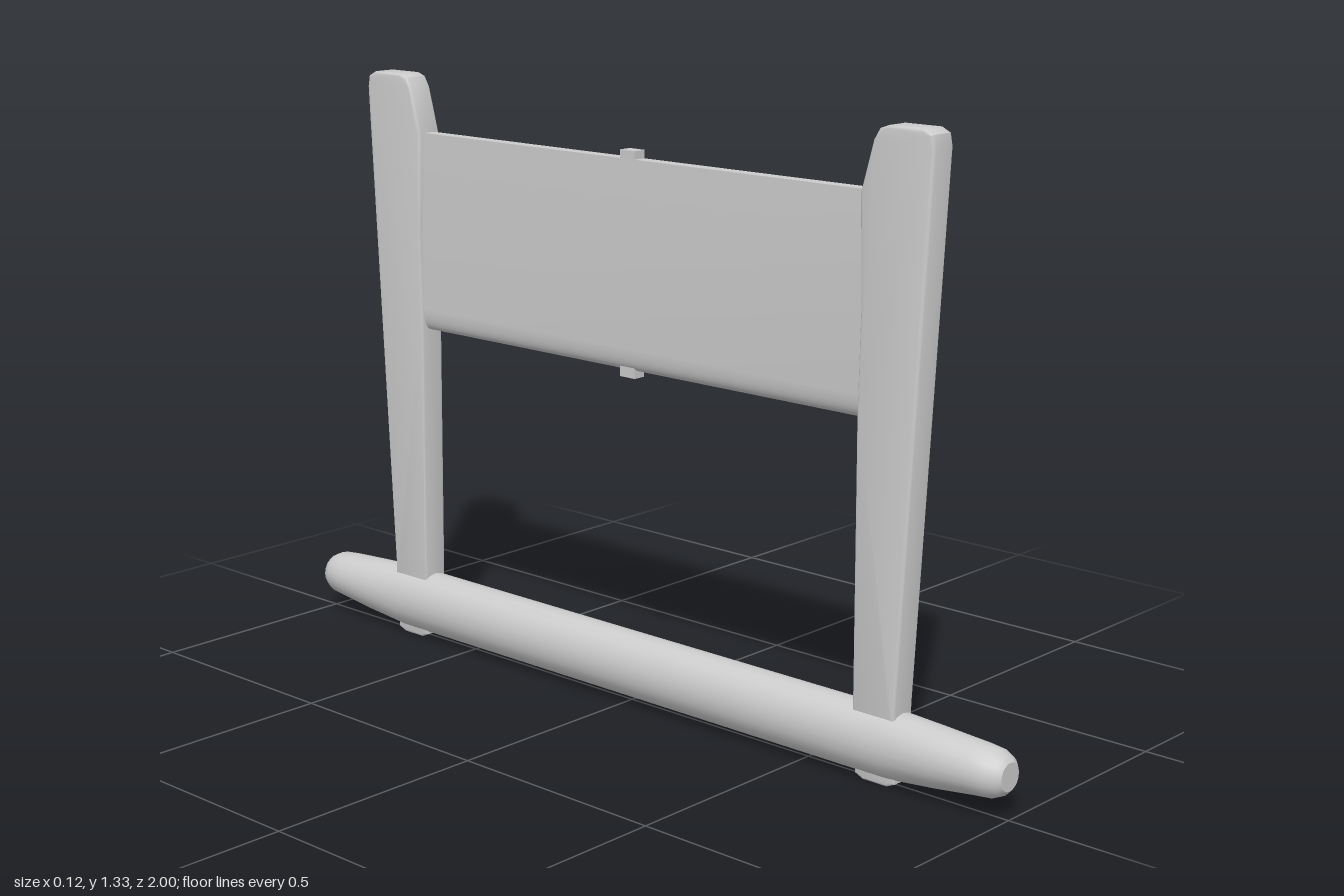
import * as THREE from 'three';
import { toCreasedNormals } from 'three/addons/utils/BufferGeometryUtils.js';

const material = new THREE.MeshStandardMaterial({ color: 0xcccccc });

function addMesh(parent, name, geometry, crease = 0.6) {
  const mesh = new THREE.Mesh(toCreasedNormals(geometry, crease), material);
  mesh.name = name;
  parent.add(mesh);
  return mesh;
}

// Skin elliptical rings [z, rx, ry, centreY] into a closed bar along z
function loftBar(stations, sides) {
  const pos = [], idx = [];
  for (const [z, rx, ry, cy] of stations) {
    for (let i = 0; i < sides; i++) {
      const a = (i / sides) * Math.PI * 2;
      pos.push(rx * Math.cos(a), cy + ry * Math.sin(a), z);
    }
  }
  for (let s = 0; s < stations.length - 1; s++) {
    for (let i = 0; i < sides; i++) {
      const j = (i + 1) % sides;
      const a = s * sides + i, b = s * sides + j;
      idx.push(a, b, b + sides, a, b + sides, a + sides);
    }
  }
  const last = (stations.length - 1) * sides;
  for (let i = 1; i < sides - 1; i++) {
    idx.push(0, i + 1, i, last, last + i, last + i + 1);
  }
  const g = new THREE.BufferGeometry();
  g.setAttribute('position', new THREE.Float32BufferAttribute(pos, 3));
  g.setIndex(idx);
  return g;
}

// Extrude a side outline of [z, y] points across x with a softened edge
function sideExtrude(points, halfWidth, bevel) {
  const shape = new THREE.Shape(points.map(([z, y]) => new THREE.Vector2(-z, y)));
  const g = new THREE.ExtrudeGeometry(shape, {
    depth: 2 * (halfWidth - bevel), bevelEnabled: true, bevelSize: bevel,
    bevelThickness: bevel, bevelOffset: -bevel, bevelSegments: 3, curveSegments: 8,
  });
  g.translate(0, 0, bevel - halfWidth);
  g.rotateY(Math.PI / 2);
  return g;
}

export function createModel() {
  const model = new THREE.Group();
  model.name = 'framedPanel';

  // Ground beam with tapered, rounded ends
  const half = [
    [0.72, 0.06, 0.073, 0.087],
    [0.84, 0.06, 0.063, 0.09],
    [0.93, 0.057, 0.054, 0.093],
    [0.97, 0.052, 0.05, 0.093],
    [0.99, 0.042, 0.041, 0.093],
    [1.0, 0.03, 0.03, 0.093],
  ];
  const mirrored = half.map(([z, ...rest]) => [-z, ...rest]).reverse();
  addMesh(model, 'groundBeam', loftBar([...mirrored, ...half], 20));

  // Flared posts and the tenon ends showing below the beam
  const postOutline = [
    [0.635, 0.1], [0.74, 0.1], [0.74, 0.17], [0.8, 1.3], [0.795, 1.325], [0.775, 1.335],
    [0.69, 1.335], [0.67, 1.328], [0.656, 1.305], [0.627, 1.2], [0.634, 0.98], [0.63, 0.75],
  ];
  for (const side of [1, -1]) {
    const post = new THREE.Group();
    post.name = side > 0 ? 'frontPost' : 'backPost';
    addMesh(post, 'postShaft', sideExtrude(postOutline, 0.031, 0.006));
    const tenon = [[0.64, 0.012], [0.66, 0.003], [0.72, 0.003], [0.74, 0.012], [0.74, 0.1], [0.64, 0.1]];
    addMesh(post, 'postTenon', sideExtrude(tenon, 0.025, 0.004));
    if (side < 0) post.rotation.y = Math.PI;
    model.add(post);
  }

  // Panel between the posts: thicker rounded bottom, slimmer top
  const profile = new THREE.Shape();
  profile.moveTo(-0.015, 1.205);
  profile.lineTo(-0.025, 0.8);
  profile.quadraticCurveTo(-0.023, 0.75, 0, 0.75);
  profile.quadraticCurveTo(0.023, 0.75, 0.025, 0.8);
  profile.lineTo(0.015, 1.205);
  profile.closePath();
  const panel = new THREE.ExtrudeGeometry(profile, { depth: 1.3, bevelEnabled: false, curveSegments: 8 });
  panel.translate(0, 0, -0.65);
  addMesh(model, 'panel', panel);

  // Small pins at the middle of the panel's top and bottom edges
  for (const [name, y] of [['topPin', 1.207], ['bottomPin', 0.751]]) {
    const pin = addMesh(model, name, new THREE.BoxGeometry(0.03, 0.032, 0.042));
    pin.position.y = y;
  }

  return model;
}
